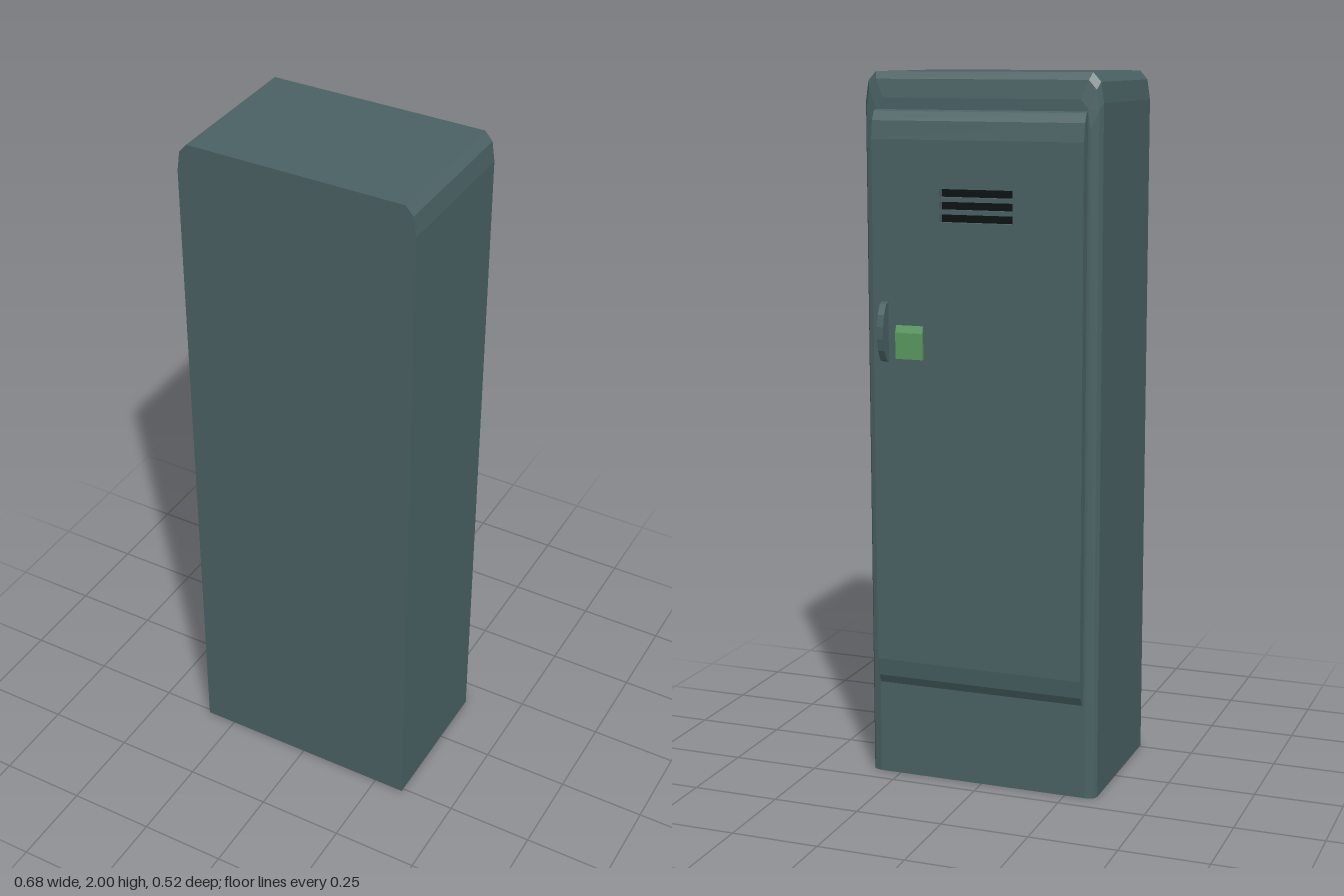
import * as THREE from 'three';

const paint = (color) => new THREE.MeshStandardMaterial({ color, flatShading: true });

function addMesh(group, name, geometry, material) {
  const mesh = new THREE.Mesh(geometry, material);
  mesh.name = name;
  group.add(mesh);
  return mesh;
}

// Side profile of [distance behind centre, height] points, extruded from x0 to x1
function sideExtrude(points, x0, x1) {
  const shape = new THREE.Shape(points.map(([u, v]) => new THREE.Vector2(u, v)));
  const geometry = new THREE.ExtrudeGeometry(shape, { depth: x1 - x0, bevelEnabled: false });
  return geometry.rotateY(Math.PI / 2).translate(x0, 0, 0);
}

function rectPoints(x0, y0, x1, y1) {
  return [[x0, y0], [x1, y0], [x1, y1], [x0, y1]].map(([x, y]) => new THREE.Vector2(x, y));
}

// Cabinet shell: one outline with cut top corners, shrunk towards the door side
function cabinetGeometry() {
  const half = [[0.34, 0], [0.34, 1.92], [0.332, 1.975], [0.31, 2]];
  const outline = [...half, ...half.map(([x, y]) => [-x, y]).reverse()];
  // [z, side inset, top inset]
  const levels = [[0.26, 0, 0], [-0.173, 0, 0], [-0.187, 0.008, 0.02], [-0.193, 0.03, 0.07]];
  const rings = levels.map(([z, side, top]) =>
    outline.map(([x, y]) => [x * (1 - side / 0.34), y * (1 - top / 2), z]));
  const n = outline.length;
  const positions = [];
  const tri = (...corners) => corners.forEach((c) => positions.push(...c));
  for (let r = 0; r < rings.length - 1; r++) {
    const a = rings[r], b = rings[r + 1];
    for (let i = 0; i < n; i++) {
      const j = (i + 1) % n;
      tri(a[i], b[i], a[j]);
      tri(a[j], b[i], b[j]);
    }
  }
  const first = rings[0], last = rings[rings.length - 1];
  for (let i = 1; i < n - 1; i++) {
    tri(first[0], first[i], first[i + 1]);
    tri(last[0], last[i + 1], last[i]);
  }
  const geometry = new THREE.BufferGeometry();
  geometry.setAttribute('position', new THREE.Float32BufferAttribute(positions, 3));
  geometry.computeVertexNormals();
  return geometry;
}

export function createModel() {
  const model = new THREE.Group();
  model.name = 'locker';
  const metal = paint(0x4a6264);
  const dark = paint(0x0b0f10);
  const green = paint(0x5a9a60);

  addMesh(model, 'cabinet', cabinetGeometry(), metal);

  const door = new THREE.Group();
  door.name = 'door';
  model.add(door);

  // Flat door panel with three vent slots
  const doorX = 0.303;
  const panel = new THREE.Shape(rectPoints(-doorX, 0.35, doorX, 1.82));
  for (let i = 0; i < 3; i++) {
    const y = 1.6 + i * 0.034;
    panel.holes.push(new THREE.Path(rectPoints(-0.105, y, 0.105, y + 0.022)));
  }
  const panelGeometry = new THREE.ExtrudeGeometry(panel, { depth: 0.035, bevelEnabled: false });
  addMesh(door, 'doorPanel', panelGeometry.translate(0, 0, -0.225), metal);

  // Dark space behind the vent slots
  const vent = addMesh(door, 'ventInterior', new THREE.BoxGeometry(0.22, 0.1, 0.01), dark);
  vent.position.set(0, 1.645, -0.2);

  // Rounded top and bottom ends of the door
  const end = [[0.19, 1.82], [0.225, 1.82], [0.218, 1.87], [0.205, 1.895], [0.19, 1.9]];
  addMesh(door, 'doorTop', sideExtrude(end, -doorX, doorX), metal);
  const lowerEnd = end.map(([u, v]) => [u, 2.17 - v]);
  addMesh(door, 'doorBottom', sideExtrude(lowerEnd, -doorX, doorX), metal);

  // Curved pull handle
  const handle = [[0.22, 1.21], [0.24, 1.217], [0.255, 1.245], [0.262, 1.278],
    [0.262, 1.312], [0.255, 1.345], [0.24, 1.373], [0.22, 1.38]];
  addMesh(door, 'handle', sideExtrude(handle, 0.258, 0.277), metal);

  // Green label plate with a sloped top
  const plate = [[0.22, 1.222], [0.233, 1.222], [0.233, 1.295], [0.226, 1.315], [0.22, 1.315]];
  addMesh(door, 'labelPlate', sideExtrude(plate, 0.155, 0.235), green);

  return model;
}
